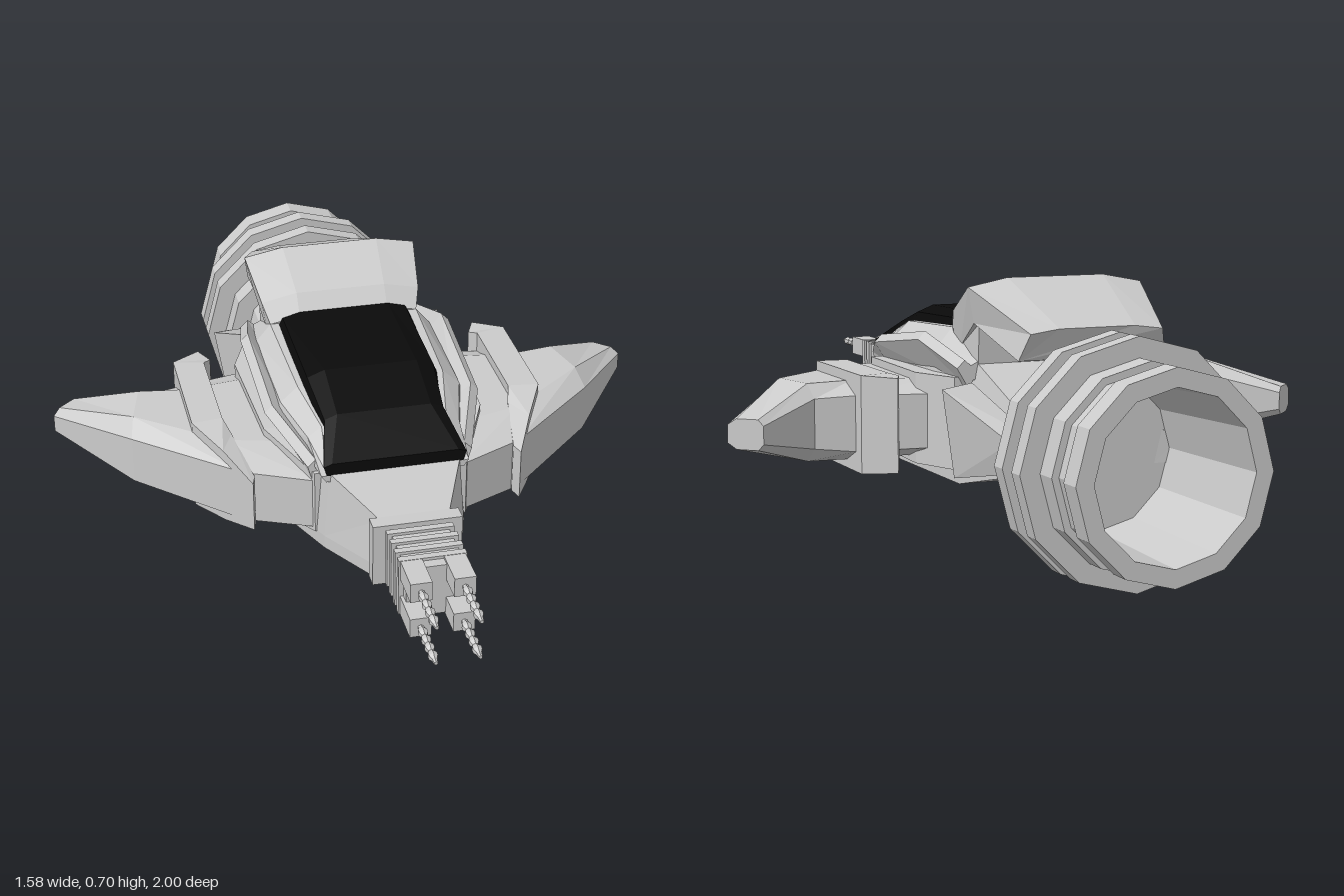
import * as THREE from 'three';

const grey = new THREE.MeshStandardMaterial({ color: 0xcccccc, flatShading: true });
const black = new THREE.MeshStandardMaterial({ color: 0x0a0a0a, flatShading: true });

// Closed flat-shaded solid through rings of [x, y, z] points, always facing outward
function loft(rings) {
  const n = rings[0].length, tris = [];
  for (let i = 0; i < rings.length - 1; i++) {
    for (let j = 0; j < n; j++) {
      const k = (j + 1) % n;
      const a = rings[i][j], b = rings[i][k], c = rings[i + 1][k], d = rings[i + 1][j];
      tris.push([a, b, c], [a, c, d]);
    }
  }
  const last = rings[rings.length - 1];
  for (let j = 1; j < n - 1; j++) {
    tris.push([rings[0][0], rings[0][j + 1], rings[0][j]], [last[0], last[j], last[j + 1]]);
  }
  const v = p => new THREE.Vector3(...p);
  const volume = tris.reduce((s, [a, b, c]) => s + v(a).dot(v(b).cross(v(c))), 0);
  const points = tris.flatMap(([a, b, c]) => (volume < 0 ? [a, c, b] : [a, b, c]).map(v));
  const geo = new THREE.BufferGeometry().setFromPoints(points);
  geo.computeVertexNormals();
  return geo;
}

// Symmetric ring across x from right-hand [x, y, z] points listed bottom to top
const mirrorRing = half => [...half, ...half.map(([x, y, z]) => [-x, y, z]).reverse()];

export function createModel() {
  const model = new THREE.Group();
  const add = (name, geo, mat = grey) => {
    const mesh = new THREE.Mesh(geo, mat);
    mesh.name = name;
    model.add(mesh);
    return mesh;
  };
  const box = (name, w, h, d, x, y, z) =>
    add(name, new THREE.BoxGeometry(w, h, d)).position.set(x, y, z);
  const pair = (name, rings) => {
    add(name + 'Left', loft(rings));
    add(name + 'Right', loft(rings.map(r => r.map(([x, y, z]) => [-x, y, z]))));
  };

  // Hull: z, bottom half width, bottom y, top half width, top y
  add('hull', loft([
    [0.59, 0.1, 0.28, 0.085, 0.44],
    [0.39, 0.18, 0.245, 0.165, 0.46],
    [0.14, 0.25, 0.205, 0.22, 0.48],
    [-0.2, 0.25, 0.205, 0.23, 0.5],
    [-0.36, 0.25, 0.205, 0.2, 0.5],
    [-0.62, 0.18, 0.265, 0.15, 0.35],
  ].map(([z, wb, yb, wt, yt]) => mirrorRing([[wb, yb, z], [wb, yb + 0.035, z], [wt, yt, z]]))));

  // Cockpit frame and dark canopy: z, base half width, base y, top half width, top y
  const cabin = rows => loft(rows.map(([z, wb, yb, wt, yt]) =>
    mirrorRing([[wb, yb, z], [(wb + wt) / 2 + 0.015, (yb + yt) / 2 + 0.01, z], [wt, yt, z]])));
  add('cockpitFrame', cabin([
    [0.395, 0.175, 0.44, 0.17, 0.457],
    [0.27, 0.2, 0.45, 0.16, 0.525],
    [0.12, 0.25, 0.46, 0.19, 0.56],
    [-0.2, 0.25, 0.46, 0.2, 0.575],
    [-0.36, 0.22, 0.46, 0.19, 0.51],
  ]));
  add('canopy', cabin([
    [0.395, 0.172, 0.455, 0.16, 0.49],
    [0.27, 0.155, 0.51, 0.12, 0.555],
    [0.12, 0.18, 0.545, 0.12, 0.6],
    [-0.195, 0.185, 0.56, 0.12, 0.605],
  ]), black);

  // Flared rails beside the cockpit: z, inner x, inner y, outer x, outer y
  pair('cockpitRail', [
    [0.34, 0.175, 0.46, 0.19, 0.475],
    [0.14, 0.22, 0.49, 0.26, 0.525],
    [-0.18, 0.215, 0.5, 0.265, 0.565],
    [-0.36, 0.2, 0.48, 0.235, 0.51],
  ].map(([z, xi, yi, xo, yo]) => [[xi, yi, z], [xo, yo, z], [xo + 0.02, yo - 0.02, z], [xi + 0.025, yi - 0.04, z]]));

  // Shoulders between hull and wings: z, outer x, bottom y, top y
  pair('shoulder', [
    [0.35, 0.195, 0.27, 0.44],
    [0.15, 0.285, 0.235, 0.465],
    [-0.2, 0.3, 0.235, 0.465],
    [-0.33, 0.25, 0.235, 0.465],
  ].map(([z, x, yb, yt]) => [[0.12, yb, z], [x, yb, z], [x, yt, z], [0.12, yt, z]]));

  // Wings: front x, front z, rear x, rear z, bottom y, top y, chamfer height
  pair('wing', [
    [0.18, 0.35, 0.24, -0.25, 0.25, 0.445, 0.03],
    [0.36, 0.265, 0.46, -0.2, 0.245, 0.445, 0.03],
    [0.61, 0.035, 0.56, -0.18, 0.25, 0.445, 0.035],
    [0.79, -0.205, 0.72, -0.27, 0.305, 0.38, 0.015],
  ].map(([xf, zf, xr, zr, y0, y1, c]) => {
    const at = (t, y) => [xf + (xr - xf) * t, y, zf + (zr - zf) * t];
    return [at(0, y0 + c), at(0, y1 - c), at(0.25, y1), at(0.85, y1),
      at(1, y1 - c), at(1, y0 + c), at(0.85, y0), at(0.25, y0)];
  }));

  // Raised band round each wing: outer x, outer z, inner x, inner z, bottom y, top y
  pair('wingBand', [
    [0.345, 0.325, 0.335, 0.29, 0.28, 0.415],
    [0.4, 0.21, 0.365, 0.13, 0.245, 0.45],
    [0.46, 0.09, 0.38, 0.08, 0.225, 0.47],
    [0.46, -0.24, 0.38, -0.22, 0.225, 0.47],
    [0.385, -0.295, 0.36, -0.24, 0.23, 0.465],
  ].map(([xo, zo, xi, zi, y0, y1]) => [[xo, y0, zo], [xo, y1, zo], [xi, y1, zi], [xi, y0, zi]]));

  // Angled side fairings leading to the engine
  pair('rearFairing', [
    [[0.2, 0.23, -0.37], [0.285, 0.23, -0.41], [0.32, 0.45, -0.42], [0.22, 0.455, -0.37]],
    [[0.15, 0.27, -0.62], [0.21, 0.27, -0.625], [0.235, 0.345, -0.625], [0.17, 0.35, -0.62]],
  ]);

  // Overhanging hood behind the cockpit
  const hoodRing = (wb, yb, zb, ws, ys, wt, yt, zt) =>
    mirrorRing([[wb, yb, zb], [ws, ys, zt], [wt, yt, zt]]);
  add('rearHood', loft([
    hoodRing(0.2, 0.545, -0.21, 0.2, 0.575, 0.12, 0.59, -0.2),
    hoodRing(0.2, 0.53, -0.25, 0.215, 0.62, 0.12, 0.64, -0.24),
    hoodRing(0.215, 0.6, -0.37, 0.235, 0.69, 0.13, 0.71, -0.38),
    hoodRing(0.195, 0.53, -0.585, 0.175, 0.595, 0.1, 0.605, -0.61),
  ]));
  add('hoodSupport', loft([
    mirrorRing([[0.2, 0.47, -0.2], [0.2, 0.58, -0.21]]),
    mirrorRing([[0.2, 0.47, -0.36], [0.2, 0.62, -0.37]]),
  ]));

  // Hollow twelve-sided engine with stepped rings, profile as [radius, distance back]
  const profile = [
    [0, 0.5], [0.2, 0.5], [0.2, 0.62], [0.25, 0.62], [0.25, 0.68], [0.3, 0.68], [0.3, 0.725],
    [0.25, 0.725], [0.25, 0.775], [0.3, 0.775], [0.3, 0.82], [0.25, 0.82], [0.25, 0.88],
    [0.232, 0.88], [0.232, 0.94], [0.25, 0.94], [0.25, 1], [0.205, 1], [0.19, 0.62], [0, 0.62],
  ].map(([r, d]) => new THREE.Vector2(r, d));
  const engineMat = grey.clone();
  engineMat.side = THREE.DoubleSide;
  const engine = add('engine', new THREE.LatheGeometry(profile, 12), engineMat);
  engine.rotation.x = -Math.PI / 2;
  engine.position.y = 0.305;

  // Nose collar and ribbed gun mount
  box('noseCollar', 0.22, 0.165, 0.04, 0, 0.36, 0.6);
  box('gunMount', 0.14, 0.135, 0.2, 0, 0.363, 0.69);
  for (const z of [0.64, 0.68, 0.72, 0.755]) box('mountRib', 0.164, 0.15, 0.018, 0, 0.363, z);

  // Four beaded gun barrels
  const beads = [[0, 0.84], [0.011, 0.84]];
  for (let i = 0; i < 4; i++) {
    const z = 0.865 + i * 0.03;
    beads.push([0.007, z], [0.012, z + 0.01], [0.012, z + 0.02]);
  }
  beads.push([0.007, 0.985], [0.005, 1], [0, 1]);
  const barrel = new THREE.LatheGeometry(beads.map(p => new THREE.Vector2(...p)), 6);
  barrel.rotateX(Math.PI / 2);
  for (const x of [-0.052, 0.052]) {
    for (const y of [0.314, 0.412]) {
      box('gunBody', 0.052, 0.05, 0.1, x, y, 0.81);
      add('gunBarrel', barrel).position.set(x, y, 0);
    }
  }
  return model;
}
